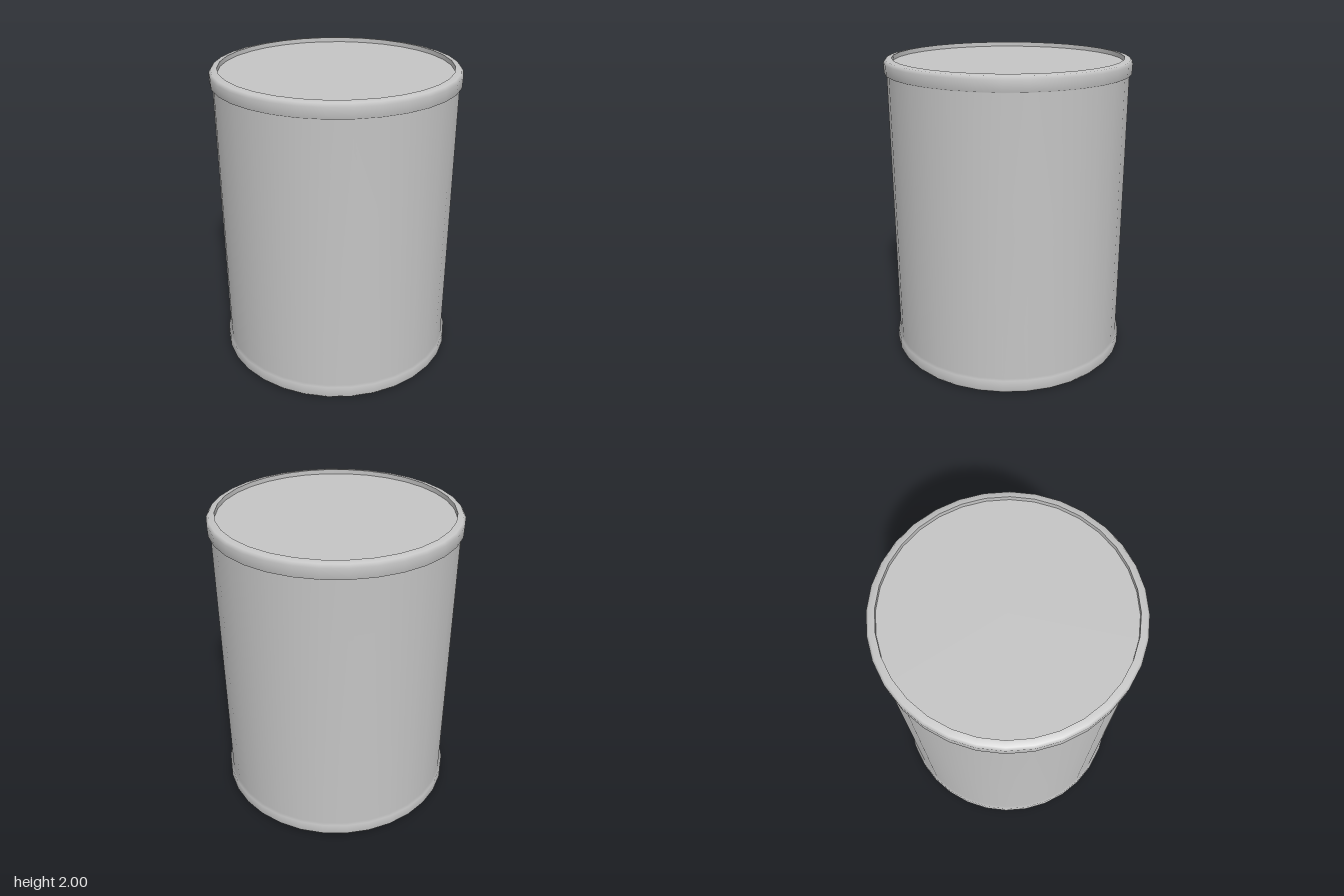
import * as THREE from 'three';

const SIDES = 32;

export function createModel() {
  const group = new THREE.Group();
  const metal = new THREE.MeshStandardMaterial({ color: 0xc4c4c4 });
  metal.name = 'grey metal';

  // Profiles run from bottom to top round the outside, so faces point outwards
  const addLathe = (name, profile) => {
    const points = profile.map(([r, y]) => new THREE.Vector2(r, y));
    const mesh = new THREE.Mesh(new THREE.LatheGeometry(points, SIDES), metal);
    mesh.name = name;
    group.add(mesh);
  };

  // Wall and both rolled rims as one smooth skin
  const rim = [[0.775, 1.9], [0.79, 1.908], [0.792, 1.975], [0.778, 1.994], [0.74, 2]];
  const lowerRim = rim.map(([r, y]) => [r, 2 - y]).reverse();
  addLathe('canBody', [...lowerRim, ...rim]);

  // Inner faces of the rims
  addLathe('topRimInside', [[0.74, 2], [0.74, 1.97]]);
  addLathe('bottomRimInside', [[0.74, 0.03], [0.74, 0]]);

  // Recessed flat ends
  addLathe('lid', [[0.74, 1.97], [0, 1.97]]);
  addLathe('base', [[0, 0.03], [0.74, 0.03]]);

  return group;
}
